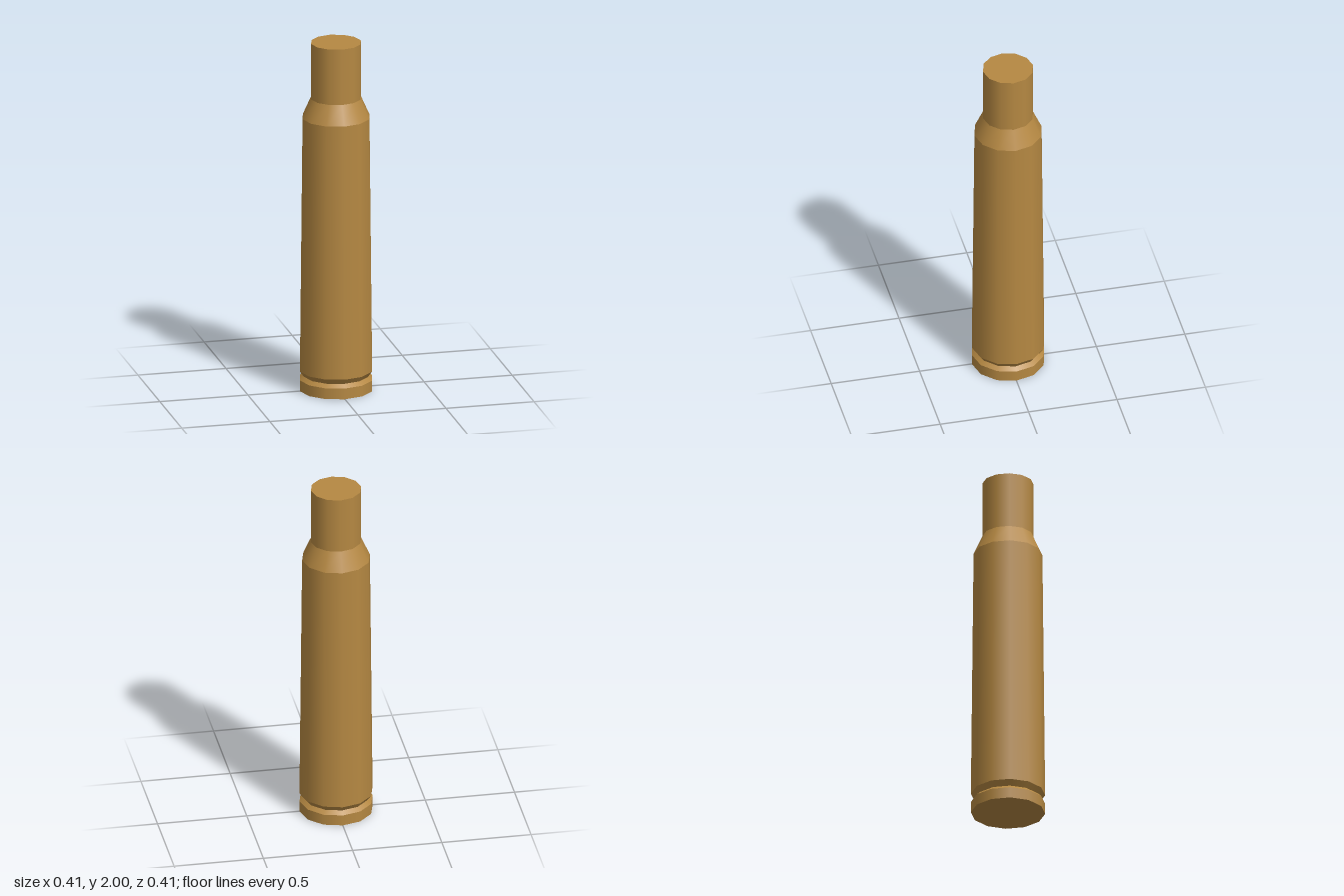
import * as THREE from 'three';

export function createModel() {
  const model = new THREE.Group();
  model.name = 'cartridgeCase';
  const brass = new THREE.MeshStandardMaterial({ color: 0xb58842 });
  brass.name = 'brass';
  const sides = 12;

  // Outline from base to mouth: [radius, height]
  const profile = [
    [0.205, 0], [0.205, 0.062], [0.183, 0.082], [0.205, 0.113],
    [0.19, 1.57], [0.141, 1.68], [0.141, 2],
  ];
  const names = ['rim', 'grooveLower', 'grooveUpper', 'body', 'shoulder', 'neck'];

  // One smooth band per section, with hard edges between the bands
  names.forEach((name, i) => {
    const [r0, y0] = profile[i];
    const [r1, y1] = profile[i + 1];
    const band = new THREE.Mesh(new THREE.CylinderGeometry(r1, r0, y1 - y0, sides, 1, true), brass);
    band.position.y = (y0 + y1) / 2;
    band.name = name;
    model.add(band);
  });

  // Flat end faces, with corners lined up to the bands
  const addCap = (name, radius, y, tilt) => {
    const cap = new THREE.Mesh(new THREE.CircleGeometry(radius, sides), brass);
    cap.rotation.x = tilt;
    cap.position.y = y;
    cap.name = name;
    model.add(cap);
  };
  addCap('baseCap', 0.205, 0, Math.PI / 2);
  addCap('mouthCap', 0.141, 2, -Math.PI / 2);

  return model;
}
